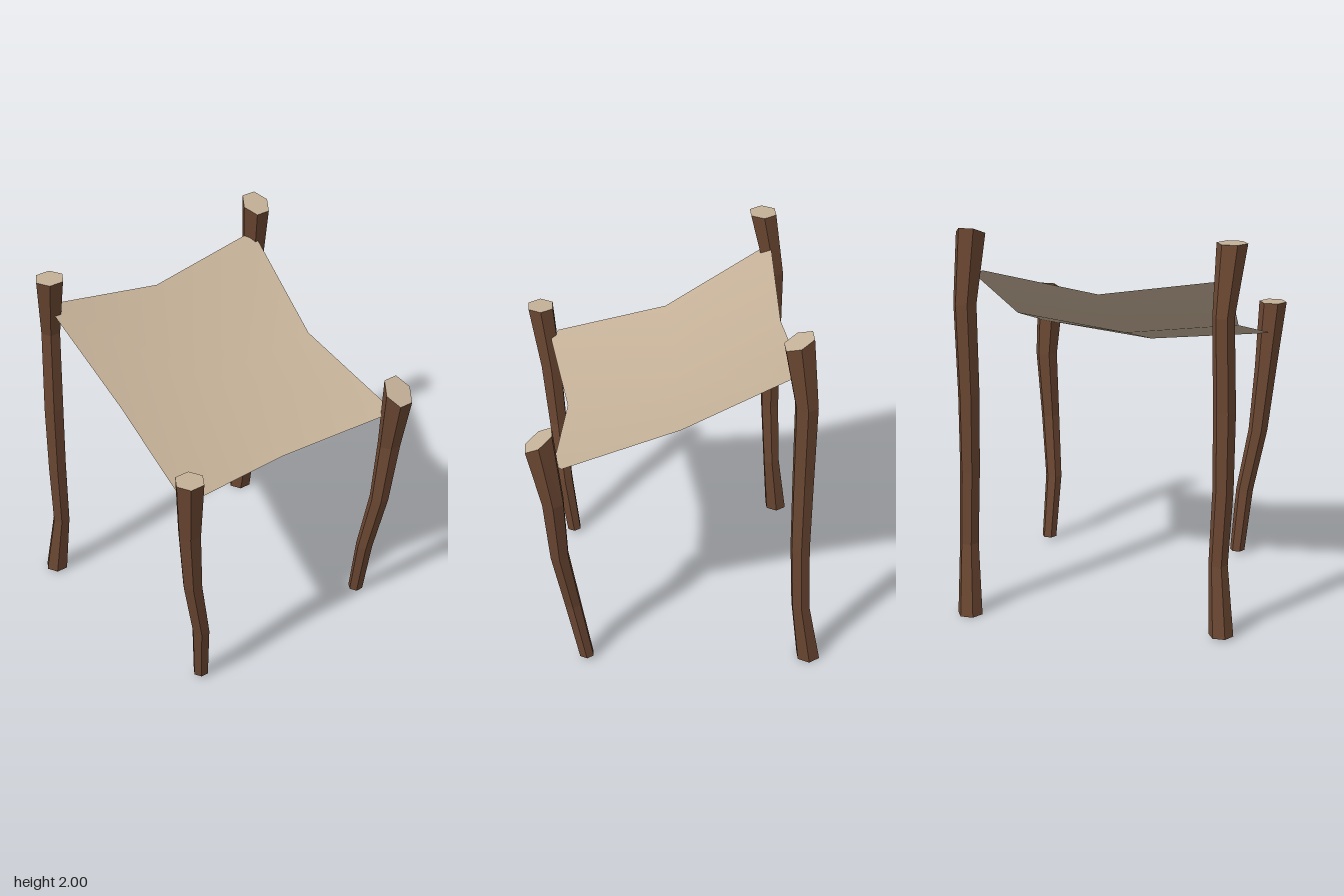
import * as THREE from 'three';

const SIDES = 6;
const wood = new THREE.MeshStandardMaterial({ color: 0x6b4732, flatShading: true });
wood.name = 'brown bark';
const pale = new THREE.MeshStandardMaterial({ color: 0xc4b097, side: THREE.DoubleSide });
pale.name = 'pale hide';

function geometry(positions, index) {
  const g = new THREE.BufferGeometry();
  g.setAttribute('position', new THREE.Float32BufferAttribute(positions, 3));
  g.setIndex(index);
  g.computeVertexNormals();
  return g;
}

// Crooked six-sided pole through rings [x, y, z, radius]; the top cut slopes to the front
function createPost(name, rings, slope) {
  const pos = [], index = [], last = rings.length - 1;
  rings.forEach(([x, y, z, r], i) => {
    for (let j = 0; j < SIDES; j++) {
      const a = (j / SIDES) * Math.PI * 2;
      const dz = Math.sin(a) * r;
      pos.push(x + Math.cos(a) * r, y - (i === last ? dz * slope : 0), z + dz);
    }
  });
  for (let i = 0; i < last; i++) {
    for (let j = 0; j < SIDES; j++) {
      const k = (j + 1) % SIDES;
      const a = i * SIDES + j, b = i * SIDES + k;
      index.push(a, a + SIDES, b + SIDES, a, b + SIDES, b);
    }
  }
  const cap = [];
  for (let j = 1; j < SIDES - 1; j++) {
    index.push(0, j, j + 1); // underside
    cap.push(0, j + 1, j); // cut top
  }
  const post = new THREE.Group();
  post.name = name;
  const bark = new THREE.Mesh(geometry(pos, index), wood);
  bark.name = name + 'Bark';
  const cut = new THREE.Mesh(geometry(pos.slice(last * SIDES * 3), cap), pale);
  cut.name = name + 'CutTop';
  post.add(bark, cut);
  return post;
}

// Sagging sheet with nipped corners: a fan around the low centre
function createCanopy() {
  const left = [
    [0, 1.22, 0.54], [0.59, 1.265, 0.62], [0.655, 1.285, 0.58],
    [0.597, 1.45, -0.01],
    [0.65, 1.755, -0.53], [0.59, 1.785, -0.577], [0, 1.69, -0.56],
  ];
  const right = left.slice(1, -1).reverse().map(([x, y, z]) => [-x, y, z]);
  const rim = [...left, ...right];
  const index = rim.flatMap((_, i) => [0, i + 1, ((i + 1) % rim.length) + 1]);
  const mesh = new THREE.Mesh(geometry([[0, 1.38, -0.03], ...rim].flat(), index), pale);
  mesh.name = 'canopy';
  return mesh;
}

export function createModel() {
  const model = new THREE.Group();
  model.name = 'shelter';
  model.add(
    createPost('frontLeftPost', [
      [0.593, 0.02, 0.49, 0.041], [0.582, 0.37, 0.553, 0.046], [0.615, 0.72, 0.61, 0.052],
      [0.64, 1.08, 0.63, 0.061], [0.626, 1.442, 0.685, 0.077],
    ], 0.7),
    createPost('frontRightPost', [
      [-0.51, 0.02, 0.535, 0.041], [-0.538, 0.37, 0.578, 0.048], [-0.603, 0.72, 0.602, 0.053],
      [-0.635, 1.08, 0.627, 0.061], [-0.66, 1.44, 0.67, 0.076],
    ], 0),
    createPost('backLeftPost', [
      [0.658, 0, -0.69, 0.066], [0.675, 0.37, -0.632, 0.051], [0.668, 0.75, -0.615, 0.053],
      [0.665, 1.15, -0.612, 0.057], [0.675, 1.62, -0.608, 0.061], [0.653, 1.97, -0.56, 0.077],
    ], 0.45),
    createPost('backRightPost', [
      [-0.66, 0.01, -0.67, 0.063], [-0.632, 0.37, -0.63, 0.049], [-0.647, 0.75, -0.61, 0.053],
      [-0.647, 1.15, -0.603, 0.057], [-0.635, 1.62, -0.602, 0.055], [-0.659, 1.97, -0.535, 0.077],
    ], 0),
    createCanopy(),
  );
  return model;
}
